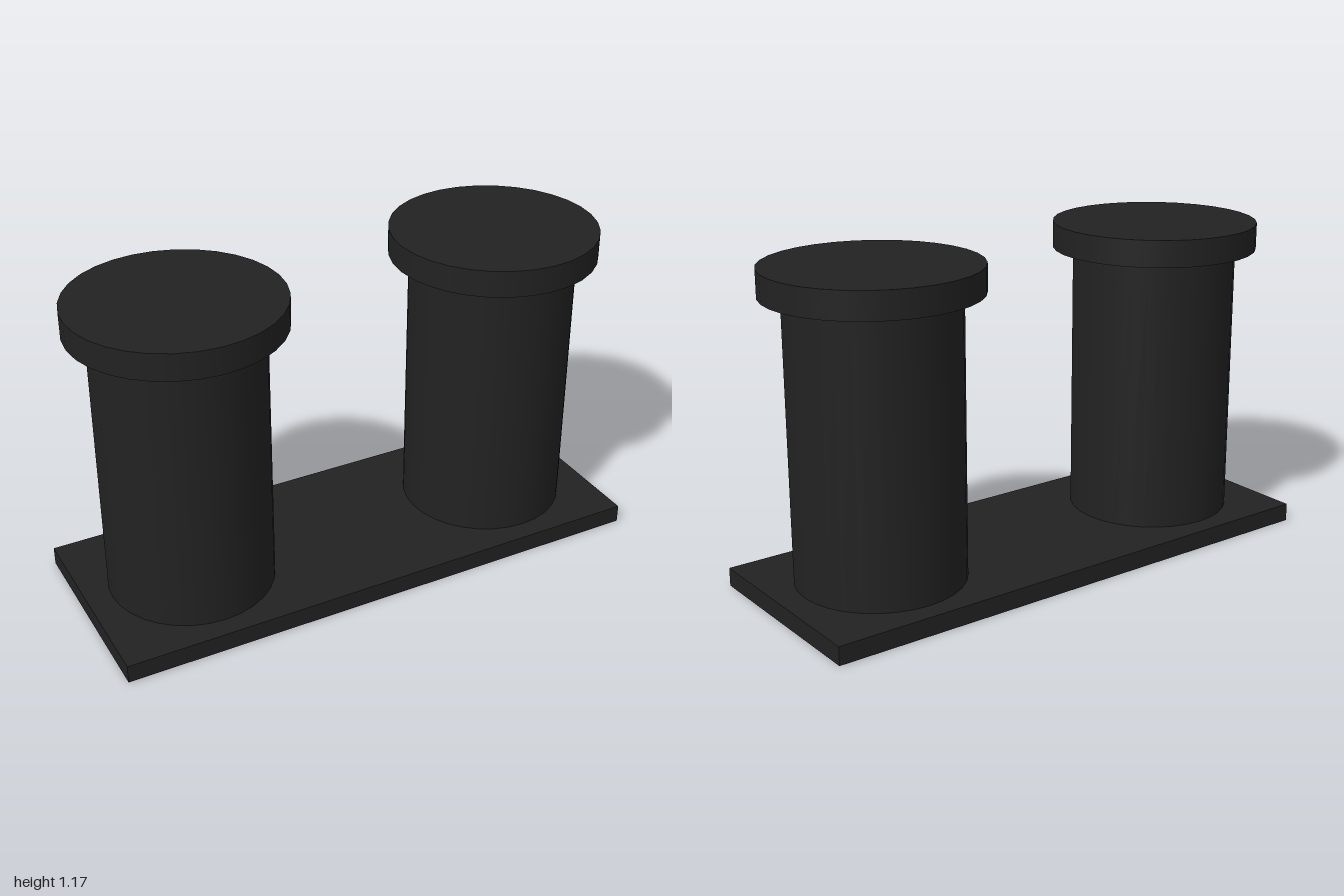
import * as THREE from 'three';

const BASE_H = 0.067, CAP_Y = 1.07, TOP_Y = 1.167;
const HALF_DEPTH = 0.375, POST_X = 0.61;

// Box shell without its bottom face, so the plate is hollow underneath
function openBottomBox(w, h, d) {
  const geo = new THREE.BoxGeometry(w, h, d);
  const kept = Array.from(geo.index.array).filter((_, i) => i < 18 || i >= 24);
  geo.setIndex(kept);
  geo.clearGroups();
  return geo;
}

export function createModel() {
  const model = new THREE.Group();
  model.name = 'twinBollard';

  const black = new THREE.MeshStandardMaterial({ color: 0x222222, side: THREE.DoubleSide });
  black.name = 'black';

  function add(parent, name, geometry, y) {
    const mesh = new THREE.Mesh(geometry, black);
    mesh.name = name;
    mesh.position.y = y;
    parent.add(mesh);
  }

  // Hollow base plate
  add(model, 'basePlate', openBottomBox(2, BASE_H, HALF_DEPTH * 2), BASE_H / 2);

  // Two posts, each with a wider cap
  for (const side of [-1, 1]) {
    const bollard = new THREE.Group();
    bollard.name = side > 0 ? 'leftBollard' : 'rightBollard';
    bollard.position.x = side * POST_X;
    const postH = CAP_Y - BASE_H, capH = TOP_Y - CAP_Y;
    add(bollard, 'post', new THREE.CylinderGeometry(0.3, 0.3, postH, 32, 1, true), BASE_H + postH / 2);
    add(bollard, 'cap', new THREE.CylinderGeometry(HALF_DEPTH, HALF_DEPTH, capH, 32), CAP_Y + capH / 2);
    model.add(bollard);
  }
  return model;
}
